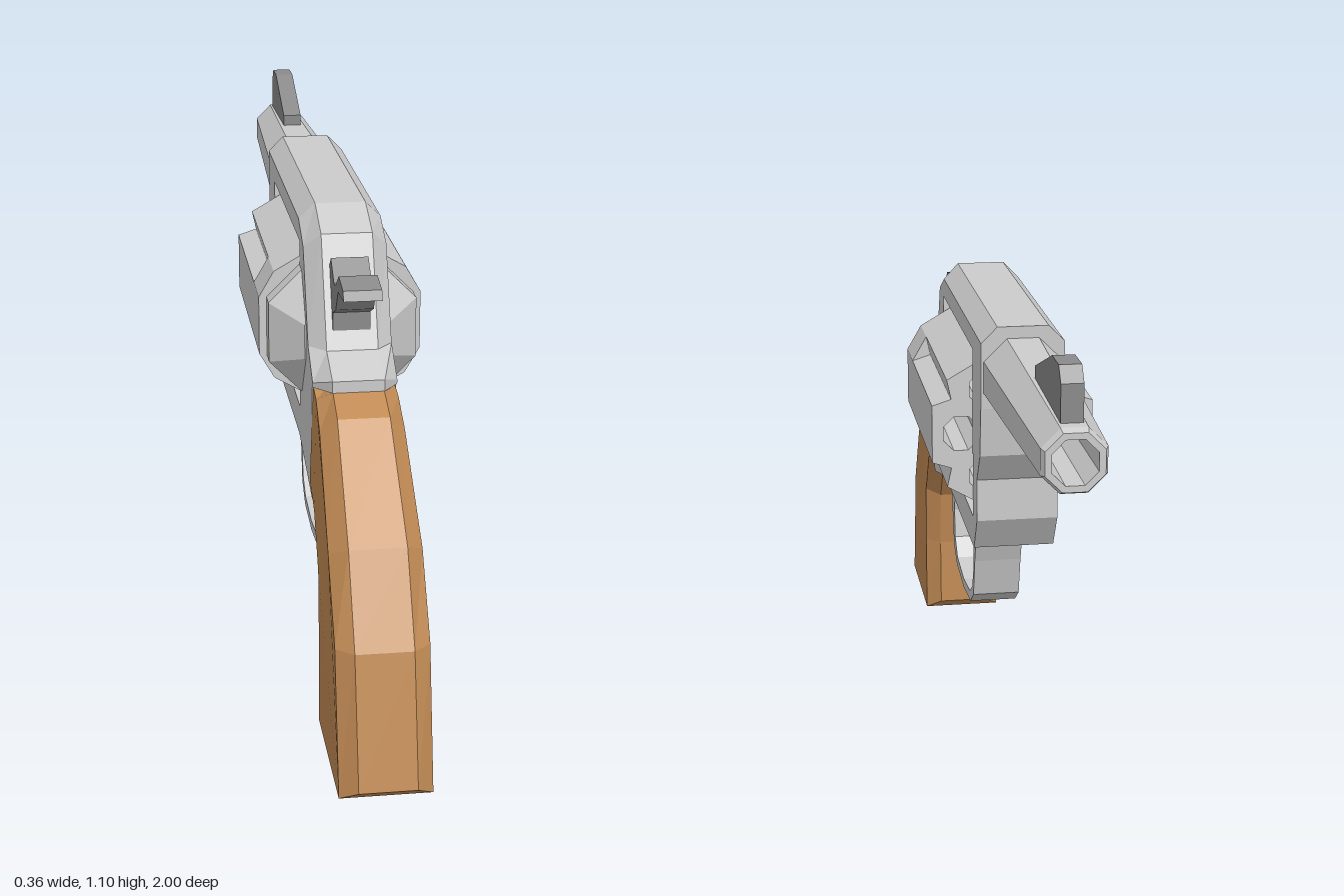
import * as THREE from 'three';

const GREY = 0xcccccc, DARK = 0x8a8a8a, WOOD = 0xc08a54;

function part(name, geometry, color = GREY) {
  const mesh = new THREE.Mesh(geometry, new THREE.MeshStandardMaterial({ color, flatShading: true }));
  mesh.name = name;
  return mesh;
}

// Solid from [z, y] outlines, stacked across x and mirrored.
// "mid" spans x = -midX..midX, "side" is the (chamfered) outline at x = +-sideX.
function profileSolid(mid, midX, side = mid, sideX = midX, hole = null) {
  const vec = (list) => list.map(([z, y]) => new THREE.Vector2(z, y));
  let m = vec(mid), s = vec(side), h = hole ? vec(hole) : [];
  if (THREE.ShapeUtils.isClockWise(m)) { m.reverse(); s.reverse(); }
  if (h.length && !THREE.ShapeUtils.isClockWise(h)) h.reverse();
  const pos = [];
  const put = (p, x) => pos.push(x, p.y, p.x);
  const wall = (loopA, xA, loopB, xB) => loopA.forEach((a, i) => {
    const j = (i + 1) % loopA.length;
    put(a, xA); put(loopA[j], xA); put(loopB[i], xB);
    put(loopA[j], xA); put(loopB[j], xB); put(loopB[i], xB);
  });
  if (sideX > midX) {
    wall(s, sideX, m, midX);
    wall(m, -midX, s, -sideX);
  }
  wall(m, midX, m, -midX);
  if (h.length) wall(h, sideX, h, -sideX);
  const all = [...s, ...h];
  for (const [a, b, c] of THREE.ShapeUtils.triangulateShape(s, h.length ? [h] : [])) {
    put(all[a], -sideX); put(all[b], -sideX); put(all[c], -sideX);
    put(all[a], sideX); put(all[c], sideX); put(all[b], sideX);
  }
  const g = new THREE.BufferGeometry();
  g.setAttribute('position', new THREE.Float32BufferAttribute(pos, 3));
  g.computeVertexNormals();
  return g;
}

const polar = (r, deg) => new THREE.Vector2(r * Math.cos(deg * Math.PI / 180), r * Math.sin(deg * Math.PI / 180));

// Six-chamber drum: fluted, bored front section and a plain rear section
function makeDrum() {
  const drum = new THREE.Group();
  drum.name = 'drum';
  const fluted = [], plain = [], holes = [];
  for (let k = 0; k < 6; k++) {
    const a = k * 60;
    plain.push(polar(0.191, a - 20), polar(0.191, a + 20));
    fluted.push(polar(0.191, a - 20), polar(0.191, a + 20), polar(0.158, a + 30));
    const c = polar(0.115, a), ring = [];
    for (let i = 0; i < 8; i++) ring.push(polar(0.042, i * 45 + 22.5).add(c));
    holes.push(new THREE.Path(ring));
  }
  const front = new THREE.Shape(fluted);
  front.holes = holes;
  const section = (name, shape, z0, z1) => {
    const mesh = part(name, new THREE.ExtrudeGeometry(shape, { depth: z1 - z0, bevelEnabled: false }));
    mesh.position.z = z0;
    drum.add(mesh);
  };
  section('drumFront', front, -0.25, 0.145);
  section('drumRear', new THREE.Shape(plain), 0.145, 0.26);
  drum.position.y = 0.767;
  return drum;
}

export function createModel() {
  const model = new THREE.Group();
  model.name = 'revolver';

  // Frame with a window for the drum, chamfered along top and back
  const belly = [[0.485, 0.445], [0.25, 0.505], [-0.27, 0.505], [-0.32, 0.585],
    [-0.32, 0.68], [-0.37, 0.75], [-0.385, 0.86]];
  const frameMid = [[-0.39, 1.04], [0.26, 1.04], [0.365, 1.0], [0.46, 0.77],
    [0.555, 0.735], [0.555, 0.71], [0.485, 0.70], ...belly];
  const frameSide = [[-0.39, 1.005], [0.25, 1.005], [0.335, 0.965], [0.42, 0.77],
    [0.50, 0.715], [0.50, 0.705], [0.485, 0.70], ...belly];
  const opening = [[-0.255, 0.575], [0.265, 0.575], [0.265, 0.96], [-0.255, 0.96]];
  model.add(part('frame', profileSolid(frameMid, 0.055, frameSide, 0.09, opening)));

  model.add(makeDrum());

  // Recoil shield: eight-sided collar and taper behind the drum
  const shield = new THREE.LatheGeometry(
    [[0, 0], [0.176, 0], [0.176, 0.045], [0.1, 0.12], [0, 0.12]].map(([r, y]) => new THREE.Vector2(r, y)),
    8, Math.PI / 8);
  shield.rotateX(Math.PI / 2).translate(0, 0.765, 0.26);
  model.add(part('recoilShield', shield));

  // Tapered eight-sided barrel with an open bore
  const barrel = new THREE.LatheGeometry(
    [[0, 0], [0.091, 0], [0.069, 0.6], [0.062, 0.615], [0.048, 0.615], [0.046, 0.3], [0, 0.3]]
      .map(([r, y]) => new THREE.Vector2(r, y)), 8, Math.PI / 8);
  barrel.rotateX(-Math.PI / 2).translate(0, 0.93, -0.385);
  model.add(part('barrel', barrel));

  // Front sight
  model.add(part('frontSight', profileSolid([[-0.675, 0.99], [-0.675, 1.03], [-0.865, 1.1],
    [-0.935, 1.1], [-0.96, 1.07], [-0.96, 0.98]], 0.022), DARK));

  // Hammer
  model.add(part('hammer', profileSolid([[0.61, 0.925], [0.60, 0.945], [0.535, 0.957], [0.48, 0.92],
    [0.46, 0.92], [0.41, 0.96], [0.39, 0.94], [0.37, 0.90], [0.40, 0.80], [0.445, 0.81],
    [0.445, 0.85], [0.49, 0.87], [0.525, 0.92]], 0.04), DARK));

  // Trigger
  model.add(part('trigger', profileSolid([[0.21, 0.52], [0.13, 0.52], [0.14, 0.46], [0.165, 0.41],
    [0.18, 0.345], [0.155, 0.295], [0.165, 0.285], [0.205, 0.34], [0.22, 0.41]], 0.025), DARK));

  // Trigger guard: outer edge, then back along the inner edge
  model.add(part('triggerGuard', profileSolid([[0.405, 0.48], [0.39, 0.33], [0.36, 0.275], [0.31, 0.247],
    [0.18, 0.235], [0.055, 0.247], [0, 0.285], [-0.025, 0.38], [-0.075, 0.515],
    [0.01, 0.515], [0, 0.43], [0.003, 0.345], [0.02, 0.3], [0.065, 0.27], [0.18, 0.257],
    [0.3, 0.27], [0.345, 0.31], [0.355, 0.38], [0.33, 0.5]], 0.055)));

  // Grip: chamfered front and back, slightly narrower toward the top
  const gripMid = [[0.485, 0.70], [0.555, 0.71], [0.63, 0.68], [0.835, 0.48], [0.935, 0.30], [1, 0.025],
    [0.97, 0], [0.65, 0], [0.62, 0.025], [0.625, 0.195], [0.61, 0.335], [0.55, 0.43], [0.485, 0.46]];
  const gripSide = [[0.485, 0.70], [0.535, 0.69], [0.61, 0.645], [0.80, 0.46], [0.905, 0.30], [0.97, 0],
    [0.97, 0], [0.65, 0], [0.65, 0], [0.65, 0.2], [0.64, 0.345], [0.57, 0.455], [0.485, 0.49]];
  const grip = profileSolid(gripMid, 0.06, gripSide, 0.096);
  const p = grip.attributes.position;
  for (let i = 0; i < p.count; i++) p.setX(i, p.getX(i) * (1 - 0.4 * Math.max(0, p.getY(i) - 0.46)));
  grip.computeVertexNormals();
  model.add(part('grip', grip, WOOD));

  return model;
}
